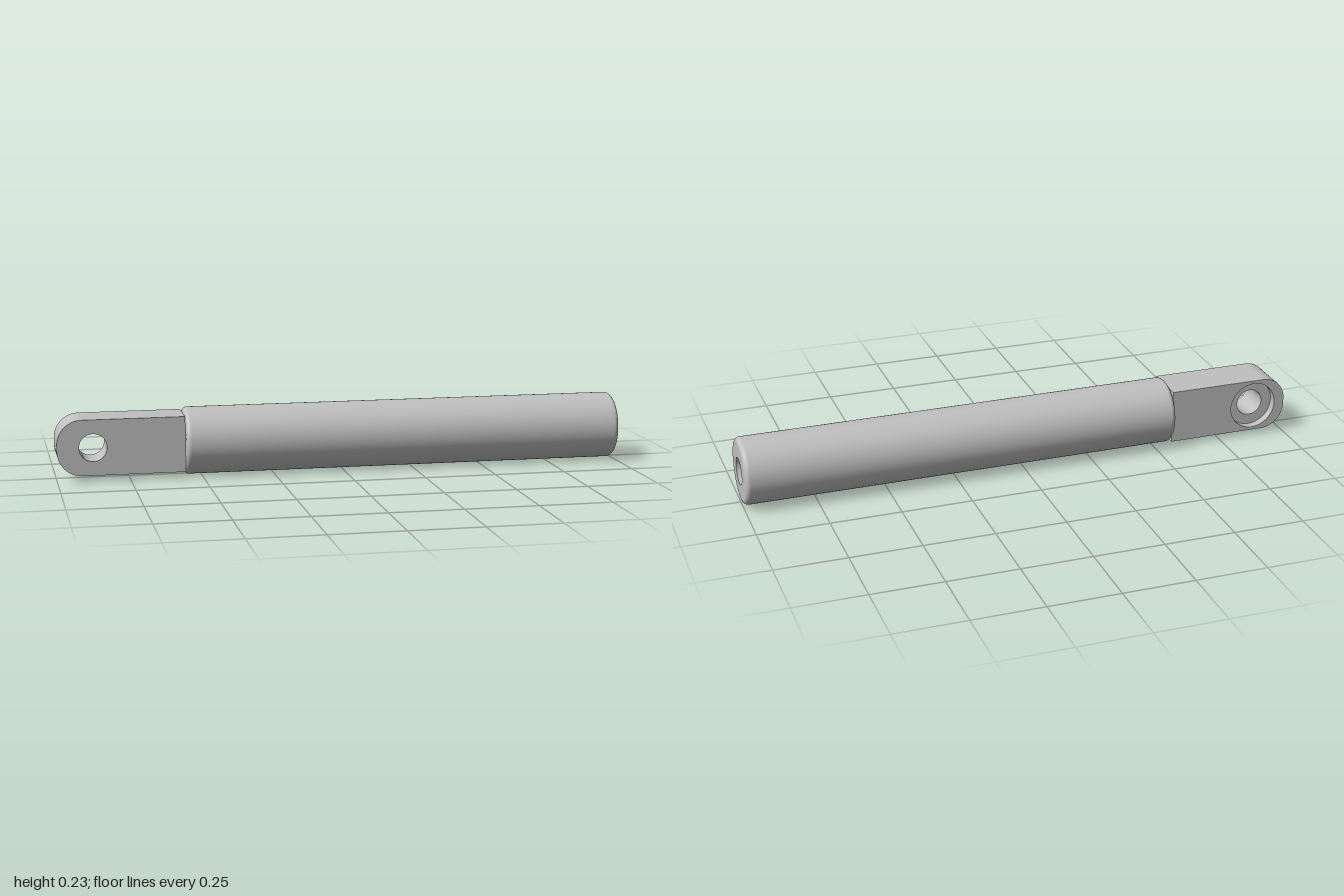
import * as THREE from 'three';

const steel = new THREE.MeshStandardMaterial({ color: 0xc0c0c0 });
steel.name = 'steel grey';

const AXIS_Y = 0.117;       // height of the rod axis
const JOINT_X = -0.56;      // where the lug meets the rod
const ROD_R = 0.117, FILLET = 0.017, BORE_R = 0.048, BORE_DEPTH = 0.3;

// Quarter-round profile points about (cx, cy), from angle a0 to a1
function arc(cx, cy, r, a0, a1, steps = 8) {
  return Array.from({ length: steps + 1 }, (_, i) => {
    const a = a0 + (a1 - a0) * i / steps;
    return [cx + r * Math.cos(a), cy + r * Math.sin(a)];
  });
}

// Surface turned about the x axis; points are [radius, x]
function turned(name, points) {
  const geo = new THREE.LatheGeometry(points.map(p => new THREE.Vector2(...p)), 96);
  geo.rotateZ(-Math.PI / 2);
  const mesh = new THREE.Mesh(geo, steel);
  mesh.name = name;
  mesh.position.y = AXIS_Y;
  return mesh;
}

// One layer of the lug: rounded tongue with a round hole
function lugLayer(name, holeRadius, z0, z1) {
  const h = 0.097, r = 0.086, left = -1;
  const s = new THREE.Shape();
  s.moveTo(JOINT_X, -h);
  s.lineTo(JOINT_X, h);
  s.lineTo(left + r, h);
  s.absarc(left + r, h - r, r, Math.PI / 2, Math.PI, false);
  s.lineTo(left, -h + r);
  s.absarc(left + r, -h + r, r, Math.PI, Math.PI * 1.5, false);
  s.closePath();
  const hole = new THREE.Path();
  hole.absarc(-0.877, 0, holeRadius, 0, Math.PI * 2, true);
  s.holes.push(hole);
  const geo = new THREE.ExtrudeGeometry(s, { depth: z1 - z0, bevelEnabled: false, curveSegments: 40 });
  const mesh = new THREE.Mesh(geo, steel);
  mesh.name = name;
  mesh.position.set(0, AXIS_Y, z0);
  return mesh;
}

export function createModel() {
  const model = new THREE.Group();
  model.name = 'pinRod';

  // Rod with rounded ends
  const x0 = JOINT_X, x1 = 1, ri = ROD_R - FILLET;
  const rod = new THREE.Group();
  rod.name = 'rod';
  rod.add(
    turned('innerEndFace', [[0, x0], [ri, x0]]),
    turned('innerEndRound', arc(ri, x0 + FILLET, FILLET, -Math.PI / 2, 0)),
    turned('rodBarrel', [[ROD_R, x0 + FILLET], [ROD_R, x1 - FILLET]]),
    turned('outerEndRound', arc(ri, x1 - FILLET, FILLET, 0, Math.PI / 2)),
    turned('outerEndFace', [[ri, x1], [BORE_R, x1]]),
    // Blind bore in the outer end
    turned('boreWall', [[BORE_R, x1], [BORE_R, x1 - BORE_DEPTH]]),
    turned('boreFloor', [[BORE_R, x1 - BORE_DEPTH], [0, x1 - BORE_DEPTH]])
  );
  model.add(rod);

  // Lug with a through hole, counterbored from the back
  const lug = new THREE.Group();
  lug.name = 'lug';
  lug.add(
    lugLayer('lugBody', 0.048, -0.048, 0.078),
    lugLayer('lugCounterbore', 0.086, -0.078, -0.048)
  );
  model.add(lug);

  return model;
}
